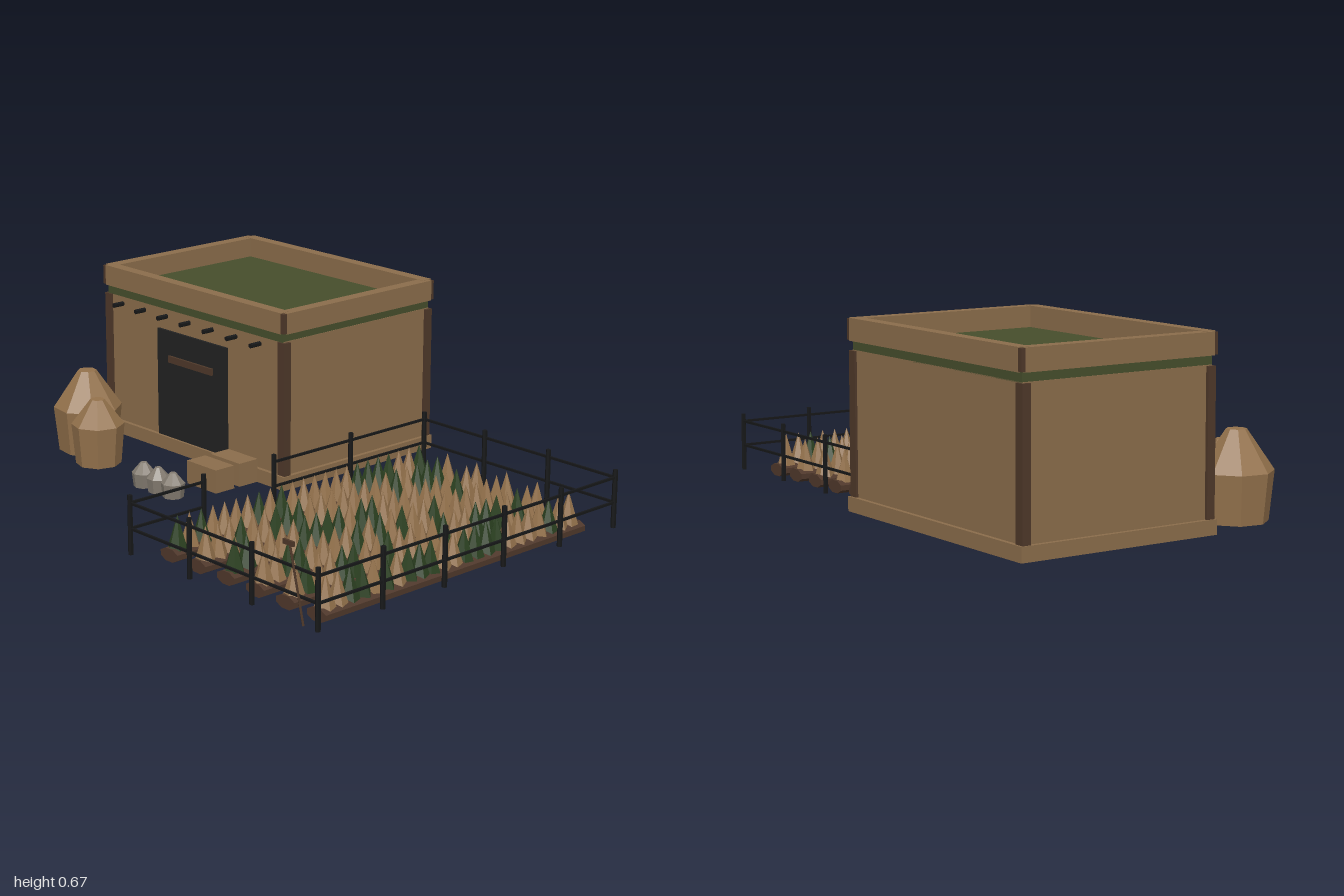
import * as THREE from 'three';

export function createModel() {
  const root = new THREE.Group();
  const mat = (name, color) => {
    const m = new THREE.MeshStandardMaterial({ color, flatShading: true });
    m.name = name;
    return m;
  };
  const clay = mat('clay', 0x8b6d4b);
  const straw = mat('straw', 0x94724c);
  const moss = mat('mossGreen', 0x464e2c);
  const timber = mat('darkTimber', 0x4e3829);
  const soil = mat('soil', 0x4f382b);
  const iron = mat('blackIron', 0x161718);
  const door = mat('doorCharcoal', 0x222222);
  const leaf = mat('leafGreen', 0x2b4020);
  const stone = mat('stone', 0x837b70);

  const group = (name, parent = root) => {
    const g = new THREE.Group();
    g.name = name;
    parent.add(g);
    return g;
  };
  const add = (parent, name, geo, m, x = 0, y = 0, z = 0) => {
    const mesh = new THREE.Mesh(geo, m);
    mesh.name = name;
    mesh.position.set(x, y, z);
    parent.add(mesh);
    return mesh;
  };
  // Box given by its lower and upper limits on each axis
  const box = (parent, name, m, x0, x1, y0, y1, z0, z1) =>
    add(parent, name, new THREE.BoxGeometry(x1 - x0, y1 - y0, z1 - z0), m,
      (x0 + x1) / 2, (y0 + y1) / 2, (z0 + z1) / 2);

  // House: base, walls, corner posts, green roof and parapet
  const house = group('house');
  box(house, 'base', clay, -1, 0, 0.035, 0.085, -0.778, -0.037);
  box(house, 'walls', clay, -0.985, -0.015, 0.085, 0.57, -0.763, -0.052);
  box(house, 'greenRoof', moss, -0.983, -0.017, 0.567, 0.602, -0.763, -0.05);
  for (const x of [-0.996, -0.04])
    for (const z of [-0.771, -0.074])
      box(house, 'cornerPost', timber, x, x + 0.036, 0.085, 0.567, z, z + 0.03);
  for (const x of [-0.98, -0.02])
    for (const z of [-0.758, -0.057])
      box(house, 'postCap', timber, x - 0.018, x + 0.018, 0.602, 0.672, z - 0.018, z + 0.018);
  for (const z of [-0.778, -0.08])
    box(house, 'parapetLong', clay, -0.982, -0.018, 0.6, 0.675, z, z + 0.043);
  for (const x of [-1, -0.045])
    box(house, 'parapetSide', clay, x, x + 0.045, 0.6, 0.674, -0.762, -0.053);

  // Door with crossbar
  box(house, 'door', door, -0.69, -0.31, 0.087, 0.49, -0.06, -0.042);
  box(house, 'doorBar', timber, -0.62, -0.38, 0.375, 0.4, -0.045, -0.033);

  // Roof beam ends above the door
  const beamGeo = new THREE.CylinderGeometry(0.009, 0.009, 0.05, 6).rotateX(Math.PI / 2);
  for (let i = 0; i < 7; i++)
    add(house, 'beamEnd', beamGeo, iron, -0.9 + i * 0.1267, 0.54, -0.032);

  // Crates by the wall
  for (const z of [-0.04, 0.07])
    box(root, 'crate', clay, -0.295, -0.14, 0.035, 0.12, z, z + 0.085);

  // Faceted heaps: narrow foot, wide shoulder, small flat top
  const heap = (name, m, x, z, r, h, shoulder, turn) => {
    const profile = [[0, 0], [r * 0.86, 0], [r, h * shoulder], [r * 0.27, h], [0, h]];
    const geo = new THREE.LatheGeometry(profile.map(p => new THREE.Vector2(...p)), 8);
    add(root, name, geo, m, x, 0.035, z).rotation.y = turn;
  };
  heap('largeHaystack', straw, -0.853, 0.16, 0.126, 0.3, 0.55, 0.25);
  heap('smallHaystack', straw, -0.692, 0.24, 0.096, 0.24, 0.62, 0.1);
  for (let i = 0; i < 3; i++)
    heap('stone', stone, -0.377 + i * 0.08, 0.285, 0.043, 0.088, 0.58, i * 0.4);

  // Planted rows: a low rounded soil bed with a line of cone plants
  const field = group('field');
  const bedGeo = new THREE.CylinderGeometry(0.046, 0.046, 1.2, 8)
    .rotateY(Math.PI / 8).rotateX(Math.PI / 2).scale(1, 0.52, 1);
  const plantGeo = new THREE.ConeGeometry(0.037, 0.12, 6);
  let seed = 7;
  const random = () => (seed = (seed * 16807) % 2147483647) / 2147483647;
  for (let row = 0; row < 6; row++) {
    const x = 0.195 + row * 0.14;
    add(field, 'soilBed', bedGeo, soil, x, 0.023, 0.047);
    for (let i = 0; i < 23; i++) {
      // The front plant of each row has a fixed kind
      const green = i === 0 ? row === 0 || row === 2 : random() < 0.42;
      const plant = add(field, green ? 'greenPlant' : 'dryPlant', plantGeo,
        green ? leaf : straw, x, 0.093, 0.61 - i * 0.051);
      plant.rotation.y = random() * 3;
    }
  }

  // Fence with a gateway on the house side
  const fence = group('fence');
  const [xl, xr, zb, zf] = [0.1, 0.99, -0.635, 0.73];
  const posts = [[xl, -0.265], [xl, 0.1], [xl, 0.415]];
  for (let i = 0; i < 4; i++)
    for (const z of [zb, zf]) posts.push([xl + (xr - xl) * i / 3, z]);
  for (let i = 1; i < 5; i++) posts.push([xr, zb + (zf - zb) * i / 5]);
  const postGeo = new THREE.CylinderGeometry(0.009, 0.009, 0.205, 6);
  for (const [x, z] of posts) add(fence, 'fencePost', postGeo, iron, x, 0.1225, z);
  const t = 0.004;
  for (const y of [0.11, 0.198]) {
    for (const z of [zb, zf])
      box(fence, 'fenceRail', iron, xl, xr, y - t, y + t, z - t, z + t);
    for (const [x, z0, z1] of [[xr, zb, zf], [xl, zb, 0.1], [xl, 0.415, zf]])
      box(fence, 'fenceRail', iron, x - t, x + t, y - t, y + t, z0, z1);
  }

  // Hoe leaning by the front fence
  const hoe = group('hoe');
  const foot = new THREE.Vector3(0.955, 0.035, 0.757);
  const tip = new THREE.Vector3(0.91, 0.292, 0.772);
  const dir = tip.clone().sub(foot);
  const handle = add(hoe, 'hoeHandle', new THREE.CylinderGeometry(0.004, 0.004, dir.length(), 6), timber);
  handle.position.copy(foot).add(tip).multiplyScalar(0.5);
  handle.quaternion.setFromUnitVectors(new THREE.Vector3(0, 1, 0), dir.normalize());
  add(hoe, 'hoeHead', new THREE.BoxGeometry(0.046, 0.016, 0.008), timber, 0.907, 0.292, 0.773);

  return root;
}
